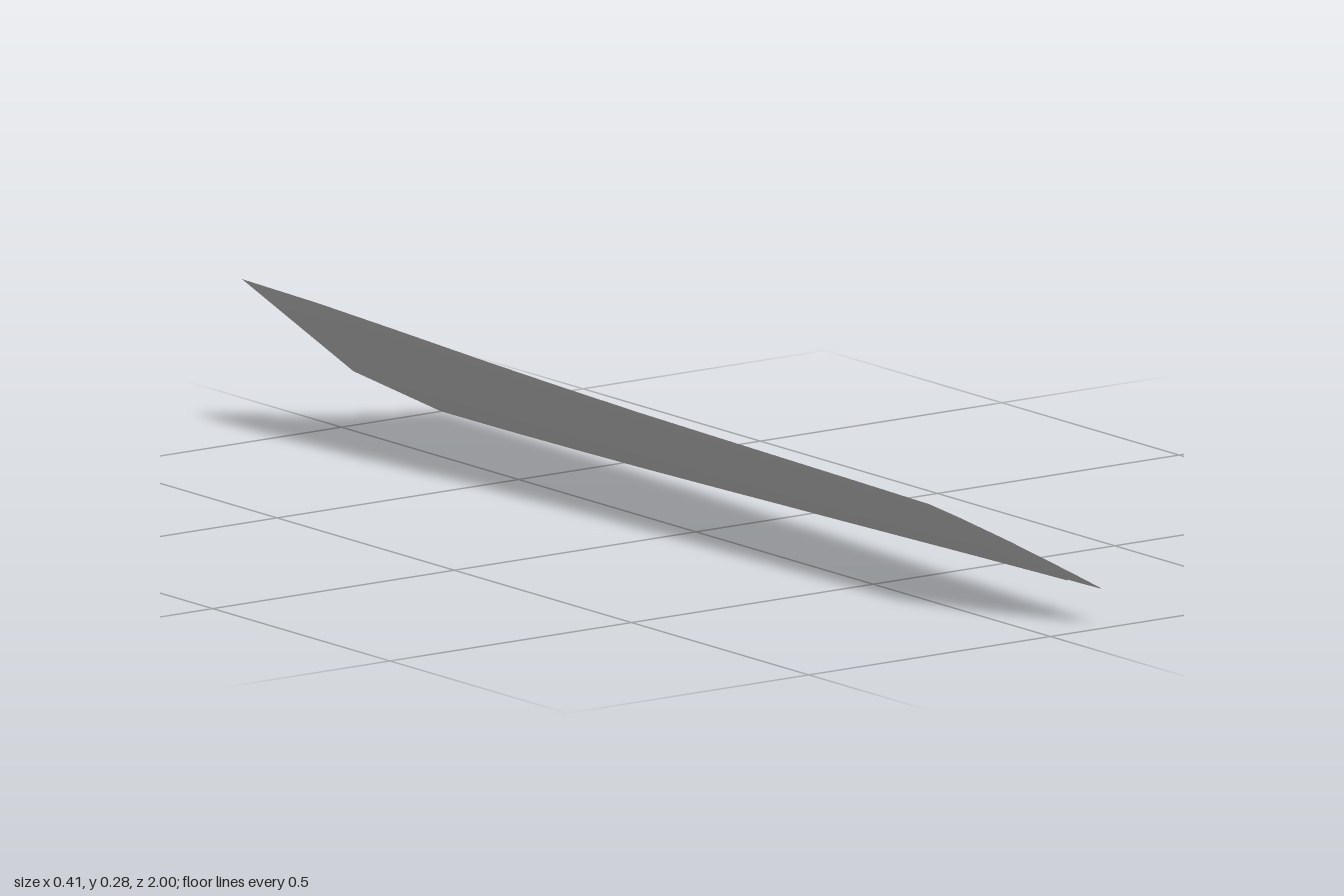
import * as THREE from 'three';

// Edge stations along the blade: [z, x of upper edge, x of lower edge]
const STATIONS = [
  [-1, -0.206, 0.206], [-0.8, -0.197, 0.204], [-0.6, -0.175, 0.198],
  [-0.4, -0.15, 0.19], [-0.2, -0.13, 0.179], [0, -0.115, 0.167],
  [0.2, -0.106, 0.156], [0.4, -0.098, 0.144], [0.6, -0.09, 0.132],
  [0.77, -0.082, 0.123], [0.82, -0.057, 0.12], [0.89, -0.009, 0.117],
  [0.895, -0.005, 0.112], [0.95, 0.048, 0.11], [0.985, 0.085, 0.108],
  [1, 0.104, 0.107],
];
const FOLD = 0.56; // fold position across the chord
const SAG = 0.075; // fold depth relative to chord width

// Both long edges lie in one sloping plane
const planeY = (x) => 0.14 - 0.68 * x;

function bladeGeometry() {
  const positions = [];
  const index = [];
  STATIONS.forEach(([z, x0, x1], i) => {
    const width = x1 - x0;
    const xm = x0 + width * FOLD;
    positions.push(x0, planeY(x0), z);
    positions.push(xm, planeY(xm) - width * SAG, z);
    positions.push(x1, planeY(x1), z);
    if (i === STATIONS.length - 1) return;
    for (let j = 0; j < 2; j++) {
      const a = i * 3 + j;
      index.push(a, a + 3, a + 1, a + 1, a + 3, a + 4);
    }
  });
  const geometry = new THREE.BufferGeometry();
  geometry.setAttribute('position', new THREE.Float32BufferAttribute(positions, 3));
  geometry.setIndex(index);
  geometry.computeVertexNormals();
  return geometry;
}

export function createModel() {
  const grey = new THREE.MeshStandardMaterial({ color: 0xc8c8c8, side: THREE.DoubleSide });
  grey.name = 'lightGrey';

  // Thin folded blade tapering to a rounded tip
  const blade = new THREE.Mesh(bladeGeometry(), grey);
  blade.name = 'blade';

  const model = new THREE.Group();
  model.name = 'foldedBlade';
  model.add(blade);
  return model;
}
